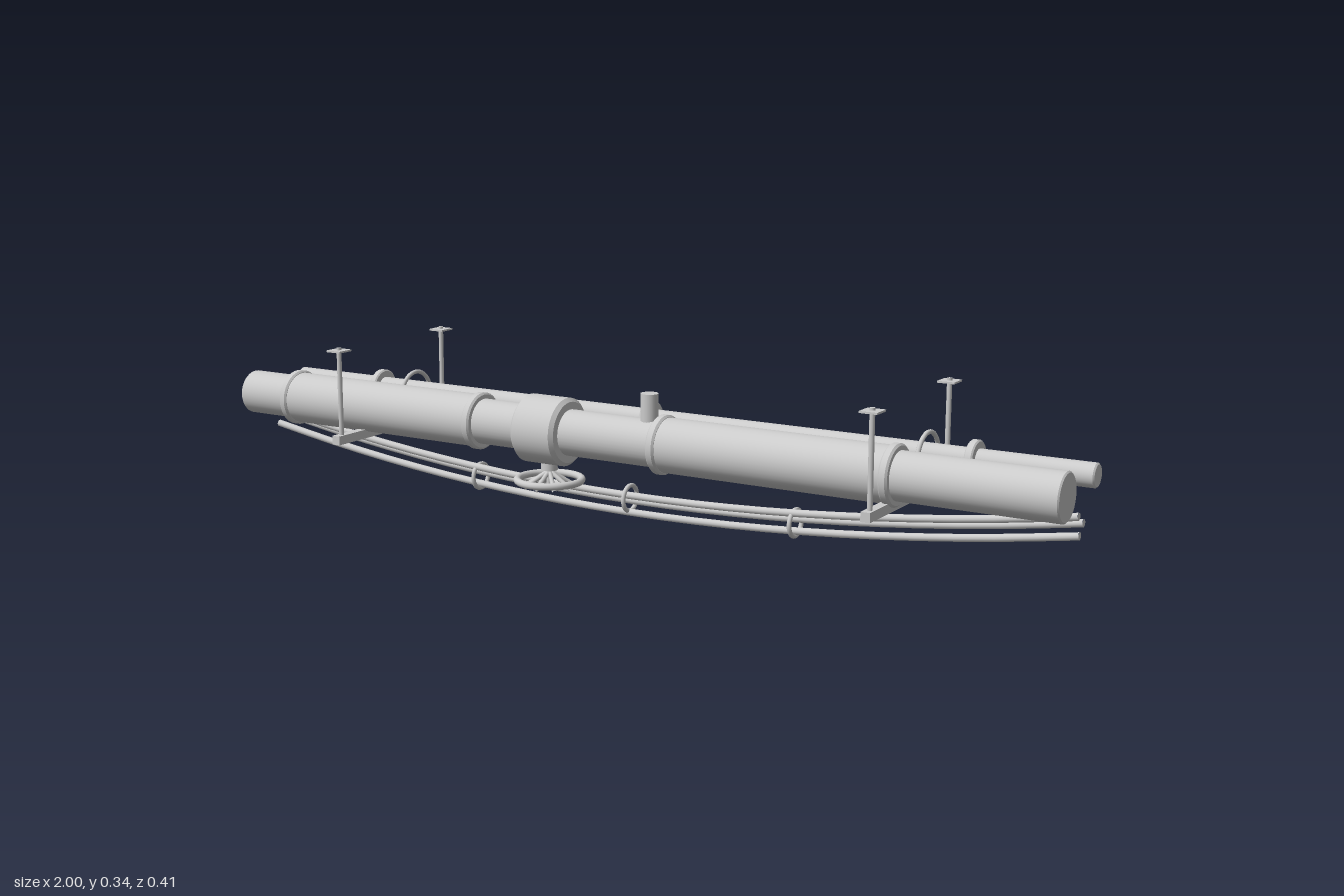
import * as THREE from 'three';

const material = new THREE.MeshStandardMaterial({ color: 0xcccccc });

export function createModel() {
  const model = new THREE.Group();
  model.name = 'suspendedPipeRack';

  function add(name, geometry, x, y, z, parent = model) {
    const mesh = new THREE.Mesh(geometry, material);
    mesh.name = name;
    mesh.position.set(x, y, z);
    parent.add(mesh);
    return mesh;
  }

  // Round bar along x with slightly bevelled ends
  function bar(name, x0, x1, r, y, z, bevel = 0.003) {
    const h = (x1 - x0) / 2;
    const sections = [
      [[0, -h], [r - bevel, -h]],
      [[r - bevel, -h], [r, -h + bevel]],
      [[r, -h + bevel], [r, h - bevel]],
      [[r, h - bevel], [r - bevel, h]],
      [[r - bevel, h], [0, h]],
    ];
    const group = new THREE.Group();
    group.name = name;
    group.position.set((x0 + x1) / 2, y, z);
    group.rotation.z = -Math.PI / 2;
    // Separate sections keep the edges sharp
    for (const s of sections) {
      const points = s.map(([a, b]) => new THREE.Vector2(a, b));
      add(name, new THREE.LatheGeometry(points, 40), 0, 0, 0, group);
    }
    model.add(group);
  }

  // Main pipe with two insulated lengths and their end bands
  const mainY = 0.19, mainZ = 0.085;
  bar('mainPipe', -1, 1, 0.05, mainY, mainZ);
  for (const [a, b] of [[-0.86, -0.335], [0.135, 0.655]]) {
    bar('insulation', a, b, 0.058, mainY, mainZ);
    for (const x of [a, b]) bar('insulationBand', x - 0.01, x + 0.01, 0.063, mainY, mainZ, 0.004);
  }

  // Valve body, stem and handwheel below
  const valveX = -0.153;
  bar('valveBody', valveX - 0.055, valveX + 0.055, 0.074, mainY, mainZ, 0.008);
  add('valveBonnet', new THREE.CylinderGeometry(0.018, 0.018, 0.04, 24), valveX, 0.122, mainZ);
  add('valveStem', new THREE.CylinderGeometry(0.007, 0.007, 0.05, 16), valveX, 0.086, mainZ);
  const wheel = new THREE.Group();
  wheel.name = 'handwheel';
  wheel.position.set(valveX, 0.08, mainZ);
  model.add(wheel);
  add('wheelRim', new THREE.TorusGeometry(0.07, 0.008, 12, 40), 0, 0, 0, wheel).rotation.x = Math.PI / 2;
  for (let i = 0; i < 8; i++) {
    const a = i * Math.PI / 4;
    const path = new THREE.LineCurve3(
      new THREE.Vector3(0, 0.02, 0),
      new THREE.Vector3(Math.cos(a) * 0.056, -0.016, Math.sin(a) * 0.056));
    add('wheelSpoke', new THREE.TubeGeometry(path, 1, 0.005, 10), 0, 0, 0, wheel);
  }

  // Vent on top of the main pipe
  add('ventStub', new THREE.CylinderGeometry(0.019, 0.019, 0.065, 24), 0.1, 0.2625, mainZ);

  // Thin rear pipe with couplings
  const thinY = 0.198, thinZ = -0.085;
  bar('thinPipe', -1, 1, 0.025, thinY, thinZ);
  for (const x of [-0.75, 0, 0.75]) bar('coupling', x - 0.009, x + 0.009, 0.042, thinY, thinZ);

  // Trapeze hangers: cross beam, two rods with ceiling plates, pipe loop
  for (const x of [-0.65, 0.65]) {
    const hanger = new THREE.Group();
    hanger.name = 'hanger';
    hanger.position.x = x;
    model.add(hanger);
    add('crossBeam', new THREE.BoxGeometry(0.02, 0.02, 0.41), 0, 0.131, 0, hanger);
    for (const z of [-0.185, 0.185]) {
      add('hangerRod', new THREE.CylinderGeometry(0.0055, 0.0055, 0.218, 12), 0, 0.23, z, hanger);
      add('ceilingPlate', new THREE.BoxGeometry(0.038, 0.004, 0.04), 0, 0.332, z, hanger);
    }
    add('pipeLoop', new THREE.TorusGeometry(0.054, 0.005, 10, 40), 0, 0.19, thinZ, hanger).rotation.y = Math.PI / 2;
  }

  // Sagging cables
  for (const [y, z] of [[0.051, 0.016], [0.011, 0.006], [0.032, -0.014]]) {
    const points = [];
    for (let i = -6; i <= 6; i++) {
      const x = i / 6;
      points.push(new THREE.Vector3(x, y + 0.088 * x * x, z));
    }
    const path = new THREE.CatmullRomCurve3(points);
    add('cable', new THREE.TubeGeometry(path, 24, 0.008, 12), 0, 0, 0);
    for (const end of [-1, 1]) {
      const cap = add('cableEnd', new THREE.CircleGeometry(0.008, 12), end, y + 0.088, z);
      cap.rotation.y = end * Math.PI / 2;
    }
  }

  // Rings that bundle the cables
  for (const x of [-0.4, 0, 0.4]) {
    add('cableRing', new THREE.TorusGeometry(0.028, 0.005, 10, 32), x, 0.041, 0.001).rotation.y = Math.PI / 2;
  }

  return model;
}
